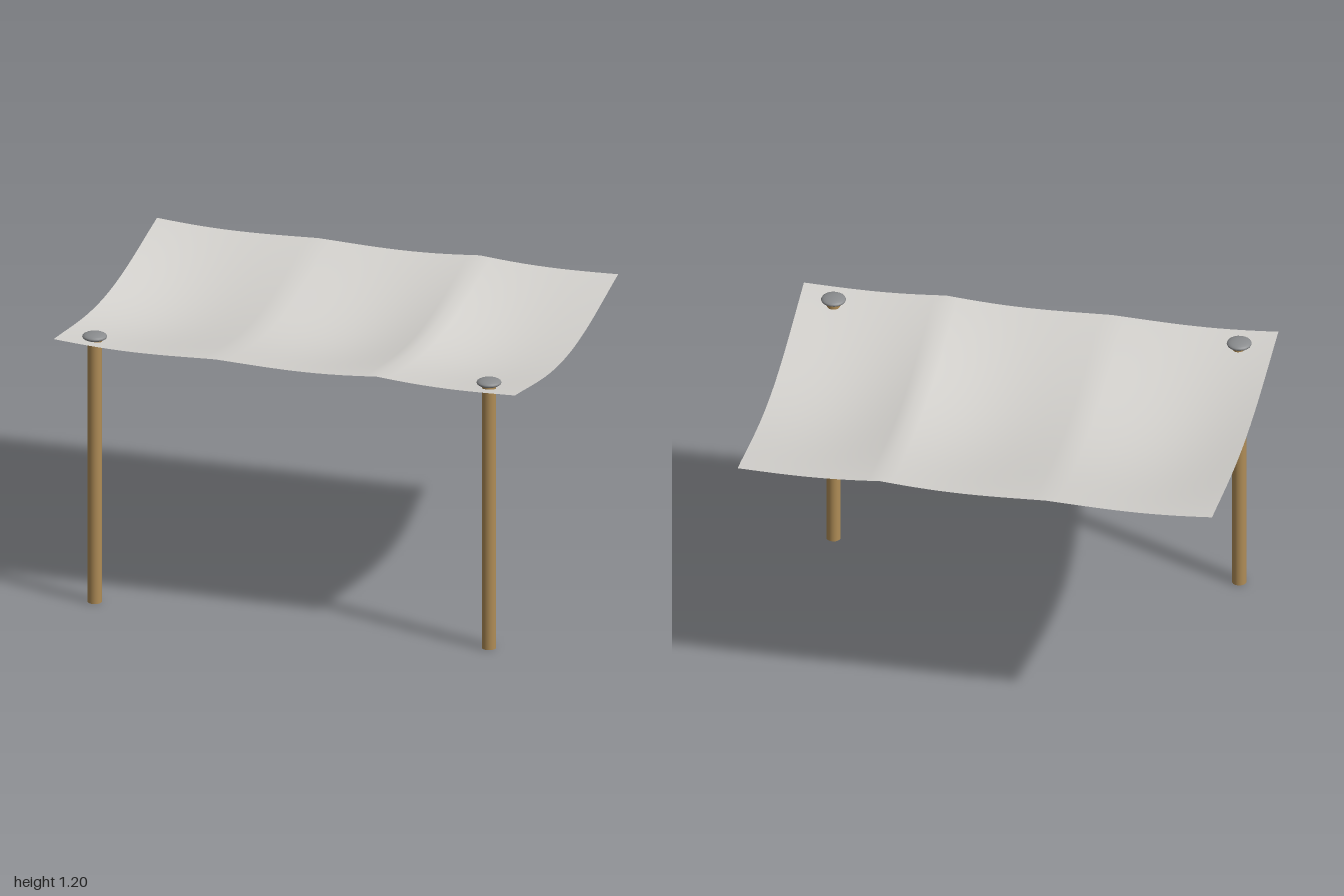
import * as THREE from 'three';

const canvasMat = new THREE.MeshStandardMaterial({ color: 0xd4d2ce, side: THREE.DoubleSide });
canvasMat.name = 'pale canvas';
const woodMat = new THREE.MeshStandardMaterial({ color: 0xb08d57 });
woodMat.name = 'tan wood';
const metalMat = new THREE.MeshStandardMaterial({ color: 0x8a8c8e });
metalMat.name = 'grey metal';

const HALF_DEPTH = 0.71;

// Scalloped ripple across the width: crests at the knots, rounded dips between
const knots = [-1, -0.3, 0.4, 1.1];
const crests = [1, 0.62, 1.05, 0.5];
function ripple(x) {
  const i = x < knots[1] ? 0 : x < knots[2] ? 1 : 2;
  const u = (x - knots[i]) / (knots[i + 1] - knots[i]);
  return THREE.MathUtils.lerp(crests[i], crests[i + 1], u) * (1 - Math.sin(Math.PI * u));
}

// Height of the cloth: hangs lowest along the middle, ripples fade to the edges
function clothHeight(x, z) {
  const t2 = (z / HALF_DEPTH) ** 2;
  const rise = 1.4 * t2 - 0.4 * t2 * t2;
  const r = ripple(x);
  return THREE.MathUtils.lerp(1.067 + 0.045 * r, 1.173 + 0.017 * r, rise);
}

function makeCanopy() {
  const geo = new THREE.PlaneGeometry(2, HALF_DEPTH * 2, 40, 24).rotateX(-Math.PI / 2);
  const p = geo.attributes.position;
  for (let i = 0; i < p.count; i++) p.setY(i, clothHeight(p.getX(i), p.getZ(i)));
  geo.computeVertexNormals();
  const canopy = new THREE.Mesh(geo, canvasMat);
  canopy.name = 'canopy';
  return canopy;
}

// Round wooden pole with a flattened metal cap
function makePole(side) {
  const group = new THREE.Group();
  group.name = side > 0 ? 'leftPole' : 'rightPole';
  const height = 1.172;
  const pole = new THREE.Mesh(new THREE.CylinderGeometry(0.03, 0.03, height, 16), woodMat);
  pole.name = 'pole';
  pole.position.y = height / 2;
  const cap = new THREE.Mesh(new THREE.SphereGeometry(0.052, 20, 10).scale(1, 0.31, 1), metalMat);
  cap.name = 'poleCap';
  cap.position.y = 1.181;
  group.add(pole, cap);
  group.position.set(side * 0.855, 0, 0.607);
  return group;
}

export function createModel() {
  const model = new THREE.Group();
  model.name = 'awning';
  model.add(makeCanopy(), makePole(1), makePole(-1));
  return model;
}
